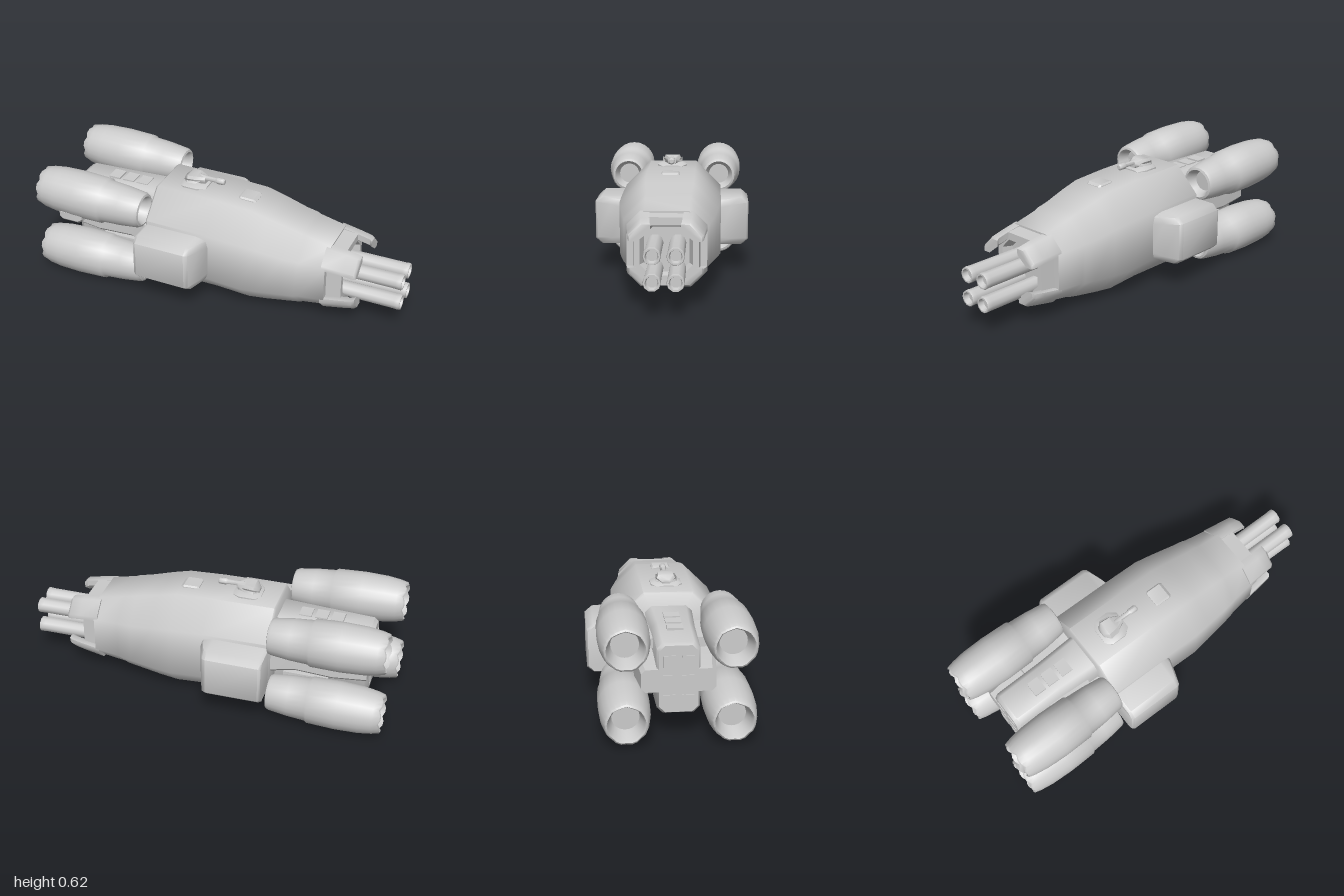
import * as THREE from 'three';
import { toCreasedNormals } from 'three/addons/utils/BufferGeometryUtils.js';

const material = new THREE.MeshStandardMaterial({ color: 0xcccccc });

// Octagonal cross-section at x: bottom, top, half width, chamfer in z and in y
function oct(x, b, t, w, cz, cy = cz) {
  return [[t, w - cz], [t - cy, w], [b + cy, w], [b, w - cz],
    [b, cz - w], [b + cy, -w], [t - cy, -w], [t, cz - w]].map(([y, z]) => [x, y, z]);
}

// Skin a row of cross-sections and close both ends
function loft(rings, crease = 0.5) {
  const pos = [];
  const n = rings[0].length;
  const tri = (...p) => p.forEach((v) => pos.push(...v));
  for (let i = 0; i < rings.length - 1; i++) {
    for (let k = 0; k < n; k++) {
      const j = (k + 1) % n;
      const [a, b, c, d] = [rings[i][k], rings[i][j], rings[i + 1][j], rings[i + 1][k]];
      tri(a, b, d);
      tri(b, c, d);
    }
  }
  const first = rings[0], last = rings[rings.length - 1];
  const mid = (r) => [0, 1, 2].map((q) => r.reduce((s, p) => s + p[q], 0) / n);
  for (let k = 0; k < n; k++) {
    const j = (k + 1) % n;
    tri(mid(first), first[j], first[k]);
    tri(mid(last), last[k], last[j]);
  }
  const g = new THREE.BufferGeometry();
  g.setAttribute('position', new THREE.Float32BufferAttribute(pos, 3));
  return toCreasedNormals(g, crease);
}

// Turned shape along x from [x, radius] pairs, rear to front
function turned(profile, sides, crease = 0.8) {
  const g = new THREE.LatheGeometry(profile.map(([x, r]) => new THREE.Vector2(r, x)), sides);
  g.rotateZ(-Math.PI / 2);
  return toCreasedNormals(g, crease);
}

export function createModel() {
  const model = new THREE.Group();
  const add = (name, geometry, x = 0, y = 0, z = 0) => {
    const m = new THREE.Mesh(geometry, material);
    m.name = name;
    m.position.set(x, y, z);
    model.add(m);
    return m;
  };
  const box = (name, x, y, z, w, h, d) => add(name, new THREE.BoxGeometry(w, h, d), x, y, z);

  // Armoured main hull, softly shaded across its chamfers
  add('hull', loft([
    oct(-0.375, 0.03, 0.565, 0.26, 0.137),
    oct(-0.365, 0.02, 0.575, 0.268, 0.14),
    oct(-0.02, 0.02, 0.57, 0.268, 0.14),
    oct(0.17, 0.008, 0.56, 0.268, 0.14),
    oct(0.27, 0.02, 0.535, 0.255, 0.13),
    oct(0.40, 0.038, 0.50, 0.236, 0.12),
    oct(0.46, 0.05, 0.487, 0.226, 0.11),
    oct(0.48, 0.056, 0.48, 0.22, 0.108),
    oct(0.62, 0.078, 0.447, 0.2, 0.088),
  ], 0.9));

  // Hollow nose block, its inner wall running back to a gun plate
  add('noseSocket', loft([
    oct(0.58, 0.085, 0.44, 0.17, 0.08),
    oct(0.70, 0.09, 0.43, 0.16, 0.075),
    oct(0.70, 0.14, 0.39, 0.13, 0.055),
    oct(0.645, 0.15, 0.375, 0.112, 0.045),
  ]));

  // Four corner claws around the nose
  const claw = [[0.08, 0.085], [0.125, 0.085], [0.19, 0.02], [0.19, -0.005], [0.15, -0.005], [0.08, 0.05]];
  for (const sy of [1, -1]) {
    for (const sz of [1, -1]) {
      const ring = (x, s, base) => {
        const pts = claw.map(([z, y]) => [x, 0.26 + sy * (base + y * s), sz * z * s]);
        // keep the winding outward on mirrored corners
        return sy * sz > 0 ? pts : pts.reverse();
      };
      add('noseClaw', loft([ring(0.60, 1.06, 0.095), ring(0.71, 1, 0.083), ring(0.768, 0.97, 0.074),
        ring(0.78, 0.92, 0.07)], 0.9));
    }
  }

  // Four hollow gun barrels
  const barrel = turned([[0.62, 0], [0.62, 0.041], [0.97, 0.042], [0.99, 0.044],
    [1.0, 0.041], [1.0, 0.033], [0.97, 0.027], [0.97, 0]], 10);
  for (const y of [0.296, 0.17]) {
    for (const z of [0.056, -0.056]) add('gunBarrel', barrel, 0, y, z);
  }

  // Side pods, one block passing through the hull
  add('sidePods', loft([
    oct(-0.375, 0.16, 0.405, 0.413, 0.03),
    oct(-0.36, 0.152, 0.415, 0.42, 0.035, 0.03),
    oct(-0.08, 0.15, 0.415, 0.42, 0.035, 0.03),
    oct(-0.06, 0.152, 0.412, 0.41, 0.035, 0.03),
    oct(-0.03, 0.158, 0.404, 0.33, 0.035, 0.03),
    oct(-0.008, 0.17, 0.39, 0.262, 0.03),
  ], 0.9));

  // Rear spine with cross-shaped section between the engines
  add('rearSpine', loft([
    oct(-0.88, 0.14, 0.48, 0.095, 0.03),
    oct(-0.86, 0.13, 0.49, 0.105, 0.03),
    oct(-0.60, 0.12, 0.50, 0.108, 0.03),
    oct(-0.36, 0.10, 0.505, 0.12, 0.03),
  ], 0.9));
  add('rearCrossBeam', loft([
    oct(-0.88, 0.245, 0.36, 0.18, 0.02),
    oct(-0.70, 0.24, 0.375, 0.2, 0.02),
    oct(-0.50, 0.25, 0.37, 0.2, 0.02),
    oct(-0.36, 0.23, 0.39, 0.22, 0.02),
  ]));
  for (let i = 0; i < 3; i++) box('spinePanel', -0.68 + i * 0.085, 0.498, 0, 0.065, 0.018, 0.08);
  for (const z of [0.045, -0.045]) {
    for (const y of [0.2, 0.3, 0.4]) box('rearVent', -0.88, y, z, 0.01, 0.06, 0.06);
  }

  // Engine: rear nozzle, stepped casing and front intake
  const engine = turned([[-0.89, 0], [-0.89, 0.068], [-0.975, 0.086], [-0.99, 0.094], [-0.985, 0.103],
    [-0.95, 0.113], [-0.88, 0.123], [-0.76, 0.128], [-0.61, 0.124], [-0.598, 0.115], [-0.50, 0.109],
    [-0.40, 0.097], [-0.384, 0.09], [-0.38, 0.078], [-0.40, 0.066], [-0.44, 0.055], [-0.44, 0]], 24);
  // Scalloped nozzle rim
  const p = engine.attributes.position;
  for (let i = 0; i < p.count; i++) {
    if (p.getX(i) < -0.96) {
      p.setX(i, p.getX(i) + 0.007 * Math.cos(8 * Math.atan2(p.getZ(i), p.getY(i))));
    }
  }
  for (const sy of [1, -1]) {
    for (const sz of [1, -1]) {
      // slight tilt of the intakes towards the centre line
      const m = add('engine', engine, 0, 0.315 + sy * 0.169, sz * 0.257);
      m.rotation.z = -sy * 0.018;
      box('enginePylon', -0.56, 0.315 + sy * 0.105, sz * 0.145, 0.24, 0.05, 0.09);
    }
  }
  // Pods hanging below the upper engines
  for (const z of [0.315, -0.23]) {
    add('underEnginePod', loft([oct(-0.85, 0.38, 0.44, 0.04, 0.015), oct(-0.83, 0.37, 0.44, 0.045, 0.015),
      oct(-0.74, 0.37, 0.44, 0.045, 0.015), oct(-0.715, 0.385, 0.44, 0.04, 0.015)]), 0, 0, z);
  }

  // Roof turret and hatch
  add('turretBase', loft([oct(-0.27, 0.56, 0.578, 0.05, 0.02, 0.006), oct(-0.24, 0.56, 0.59, 0.08, 0.025, 0.01),
    oct(-0.16, 0.56, 0.59, 0.08, 0.025, 0.01), oct(-0.12, 0.56, 0.578, 0.05, 0.02, 0.006)], 0.9));
  add('turretHead', loft([oct(-0.255, 0.58, 0.605, 0.025, 0.01, 0.015), oct(-0.23, 0.58, 0.625, 0.055, 0.015, 0.035),
    oct(-0.18, 0.58, 0.628, 0.05, 0.015, 0.035), oct(-0.135, 0.585, 0.62, 0.022, 0.008)], 0.9));
  add('turretGun', turned([[-0.17, 0], [-0.17, 0.018], [-0.13, 0.013], [-0.08, 0.013], [-0.07, 0.018],
    [-0.035, 0.018], [-0.028, 0.012], [-0.028, 0]], 8), 0, 0.611, 0);
  add('roofHatch', loft([oct(0.07, 0.54, 0.57, 0.045, 0.008), oct(0.08, 0.54, 0.575, 0.05, 0.008),
    oct(0.155, 0.54, 0.573, 0.05, 0.008), oct(0.17, 0.54, 0.562, 0.045, 0.008)]));

  return model;
}
